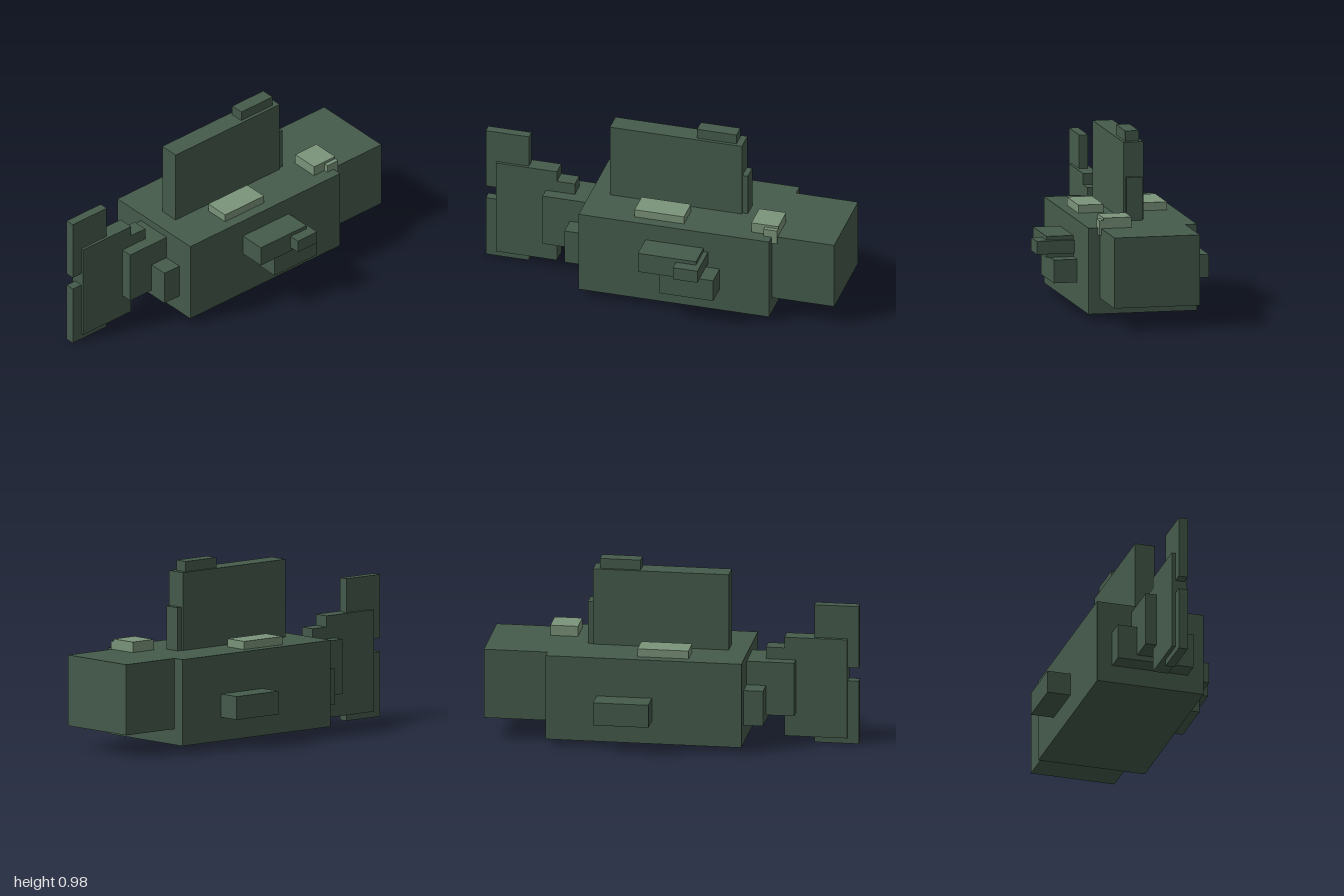
import * as THREE from 'three';

export function createModel() {
  const model = new THREE.Group();
  model.name = 'blockFish';
  const darkGreen = new THREE.MeshStandardMaterial({ name: 'dark green', color: 0x455b4b });
  const paleGreen = new THREE.MeshStandardMaterial({ name: 'pale green', color: 0x7b947a });

  // Box given by its extents along each axis
  function block(name, [x0, x1], [y0, y1], [z0, z1], material = darkGreen) {
    const mesh = new THREE.Mesh(new THREE.BoxGeometry(x1 - x0, y1 - y0, z1 - z0), material);
    mesh.position.set((x0 + x1) / 2, (y0 + y1) / 2, (z0 + z1) / 2);
    mesh.name = name;
    model.add(mesh);
  }

  // Trunk and head
  block('body', [-0.405, 0.655], [0.035, 0.503], [-0.337, 0.26]);
  block('head', [0.655, 1], [0.12, 0.503], [-0.272, 0.197]);

  // Back fin with its tip and leading edge
  block('backFin', [-0.3, 0.435], [0.5, 0.925], [-0.092, 0.018]);
  block('backFinTip', [0.18, 0.4], [0.92, 0.98], [-0.075, 0]);
  block('backFinFront', [0.43, 0.465], [0.5, 0.737], [-0.081, 0.007]);

  // Tail base, stalk and fan
  block('tailBase', [-0.51, -0.4], [0.135, 0.33], [-0.253, 0.17]);
  block('tailStalk', [-0.662, -0.4], [0.165, 0.462], [-0.145, 0.065]);
  block('tailFan', [-0.94, -0.6], [0.035, 0.587], [-0.085, 0.001]);
  block('tailRidge', [-0.605, -0.5], [0.44, 0.527], [-0.085, 0.001]);
  block('upperTailTip', [-1, -0.76], [0.425, 0.77], [-0.064, -0.014]);
  block('lowerTailTip', [-1, -0.76], [0, 0.352], [-0.064, -0.014]);

  // Side fins
  block('leftUpperFin', [-0.033, 0.29], [0.29, 0.405], [0.25, 0.407]);
  block('leftFinTip', [0.178, 0.315], [0.312, 0.384], [0.25, 0.466]);
  block('leftLowerFin', [0.08, 0.38], [0.164, 0.29], [0.25, 0.388]);
  block('rightFin', [0.08, 0.38], [0.164, 0.29], [-0.465, -0.33]);

  // Pale patches on the back and brow
  block('leftBackPatch', [-0.11, 0.165], [0.5, 0.547], [0.065, 0.203], paleGreen);
  block('rightBackPatch', [-0.11, 0.165], [0.5, 0.547], [-0.283, -0.147], paleGreen);
  block('browPatch', [0.535, 0.685], [0.5, 0.56], [0.03, 0.184], paleGreen);
  block('browDrop', [0.61, 0.685], [0.465, 0.546], [0.15, 0.207], paleGreen);

  return model;
}
